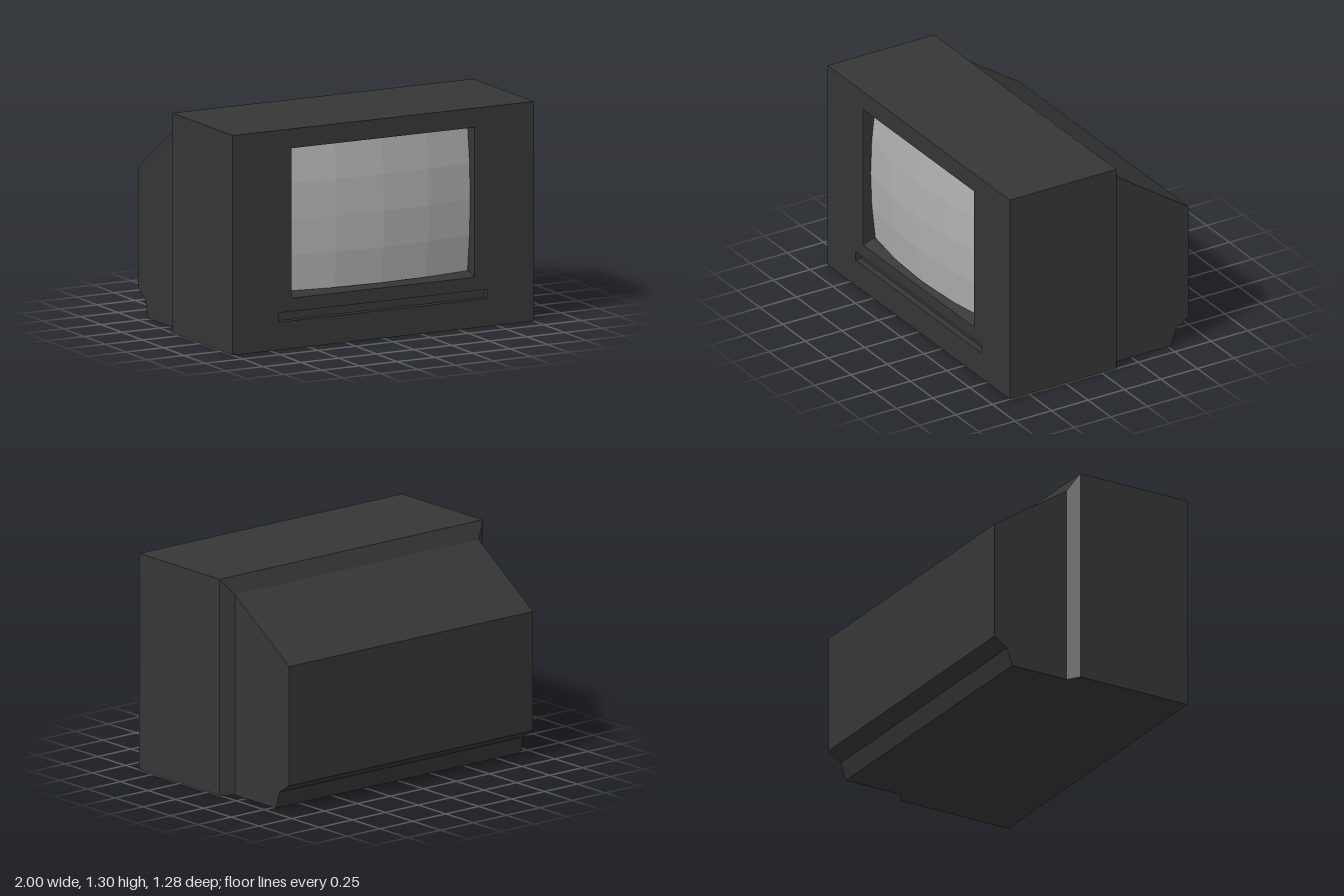
import * as THREE from 'three';

const WIDTH = 2, HEIGHT = 1.305;
const FRONT = 0.63, FRAME_BACK = 0.53, SHELL_BACK = -0.1, NECK_BACK = -0.15;
const REAR_HALF = 0.927, REAR_TOP = 1.21;

// Rectangle path, used for the fascia outline and its openings
function rect(path, x0, y0, x1, y1) {
  path.moveTo(x0, y0);
  path.lineTo(x1, y0);
  path.lineTo(x1, y1);
  path.lineTo(x0, y1);
  path.closePath();
  return path;
}

// Extrudes a side profile of [z, y] points across x, centred on x = 0
function sideExtrude(points, width) {
  const shape = new THREE.Shape(points.map(([z, y]) => new THREE.Vector2(z, y)));
  return new THREE.ExtrudeGeometry(shape, { depth: width, bevelEnabled: false })
    .rotateY(-Math.PI / 2)
    .translate(width / 2, 0, 0);
}

export function createModel() {
  const group = new THREE.Group();
  const plastic = new THREE.MeshStandardMaterial({ color: 0x363636 });
  plastic.name = 'darkPlastic';
  const glass = new THREE.MeshStandardMaterial({ color: 0xb0b0b0, flatShading: true });
  glass.name = 'greyGlass';

  const add = (name, geometry, material = plastic) => {
    const mesh = new THREE.Mesh(geometry, material);
    mesh.name = name;
    group.add(mesh);
    return mesh;
  };

  // Front fascia with the screen opening and the long slot below it
  const outline = rect(new THREE.Shape(), -1, 0, 1, HEIGHT);
  outline.holes.push(
    rect(new THREE.Path(), -0.61, 0.3, 0.605, 1.19),
    rect(new THREE.Path(), -0.695, 0.165, 0.69, 0.22)
  );
  add('fascia', new THREE.ExtrudeGeometry(outline, { depth: FRONT - FRAME_BACK, bevelEnabled: false }))
    .position.z = FRAME_BACK;

  // Main cabinet behind the fascia
  add('cabinet', new THREE.BoxGeometry(WIDTH, HEIGHT, FRAME_BACK - SHELL_BACK))
    .position.set(0, HEIGHT / 2, (FRAME_BACK + SHELL_BACK) / 2);

  // Floor of the slot
  add('slotBack', new THREE.BoxGeometry(1.4, 0.07, 0.06)).position.set(0, 0.1925, 0.56);

  // Sloping sill under the screen
  add('screenSill', sideExtrude([[FRONT, 0.3], [0.575, 0.325], [0.53, 0.325], [0.53, 0.3]], 1.215));

  // Bulging screen
  const screen = new THREE.PlaneGeometry(1.22, 0.865, 4, 4);
  const sp = screen.attributes.position;
  for (let i = 0; i < sp.count; i++) {
    const x = sp.getX(i), y = sp.getY(i);
    sp.setZ(i, 0.64 - 0.167 * x * x - 0.17 * y * y);
  }
  screen.computeVertexNormals();
  add('screen', screen, glass).position.y = 0.7575;

  // Bevelled step from the cabinet to the narrower rear housing
  const neck = new THREE.BoxGeometry(WIDTH, HEIGHT, SHELL_BACK - NECK_BACK);
  neck.translate(0, HEIGHT / 2, (SHELL_BACK + NECK_BACK) / 2);
  const np = neck.attributes.position;
  for (let i = 0; i < np.count; i++) {
    if (np.getZ(i) > -0.125) continue;
    np.setX(i, Math.sign(np.getX(i)) * REAR_HALF);
    if (np.getY(i) > 1) np.setY(i, REAR_TOP);
  }
  neck.computeVertexNormals();
  add('rearStep', neck);

  // Rear housing with sloping top and undercut foot
  add('rearHousing', sideExtrude([
    [NECK_BACK, 0], [NECK_BACK, REAR_TOP], [-0.64, 0.88],
    [-0.64, 0.16], [-0.555, 0.105], [-0.52, 0]
  ], REAR_HALF * 2));

  return group;
}
